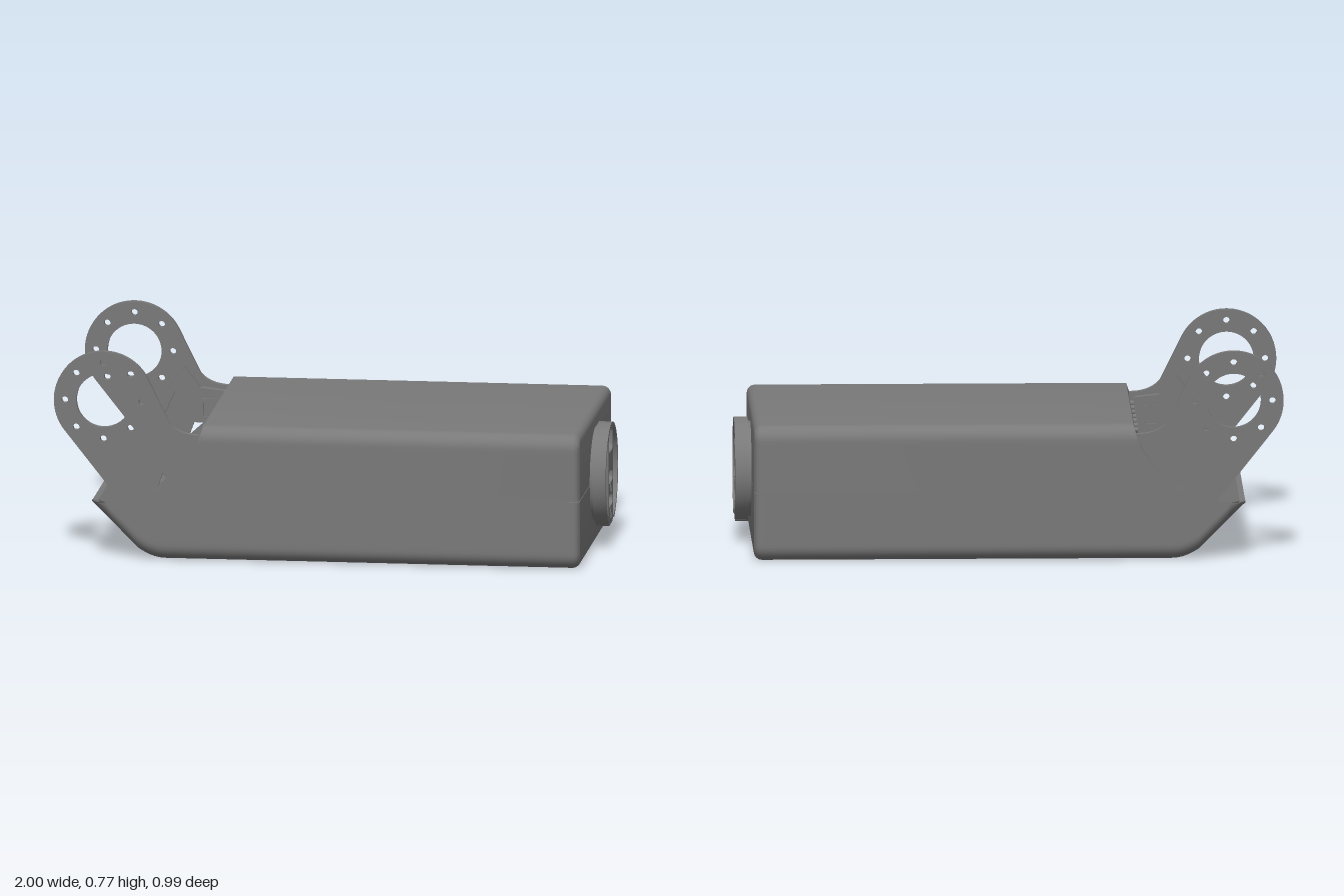
import * as THREE from 'three';
import { toCreasedNormals } from 'three/addons/utils/BufferGeometryUtils.js';

const grey = new THREE.MeshStandardMaterial({ color: 0x797979, side: THREE.DoubleSide });
// Joint axis of the ears; the mouth of the case is cut by a cylinder around it
const AX = -0.817, AY = 0.587, CUT = 0.377;
const W = 0.495, R = 0.055, WALL = 0.02, END = 0.94, ENDR = 0.03;

function add(parent, name, geometry, x = 0, y = 0, z = 0) {
  const mesh = new THREE.Mesh(geometry, grey);
  mesh.name = name;
  mesh.position.set(x, y, z);
  parent.add(mesh);
  return mesh;
}
const box = (w, h, d) => new THREE.BoxGeometry(w, h, d);
const poly = (pts) => new THREE.Shape(pts.map((p) => new THREE.Vector2(p[0], p[1])));
const extrude = (shape, depth) =>
  toCreasedNormals(new THREE.ExtrudeGeometry(shape, { depth, bevelEnabled: false, curveSegments: 24 }), 0.6);

function circle(x, y, r) {
  const c = new THREE.Path();
  c.absarc(x, y, r, 0, Math.PI * 2, true);
  return c;
}
function disc(r, hole) {
  const s = new THREE.Shape();
  s.absarc(0, 0, r, 0, Math.PI * 2);
  if (hole) s.holes.push(circle(0, 0, hole));
  return s;
}
// Slot with fully or partly rounded ends
function slot(x, y, w, h, r) {
  const p = new THREE.Path();
  const a = w / 2 - r, b = h / 2 - r;
  p.absarc(x + a, y + b, r, 0, Math.PI / 2);
  p.absarc(x - a, y + b, r, Math.PI / 2, Math.PI);
  p.absarc(x - a, y - b, r, Math.PI, Math.PI * 1.5);
  p.absarc(x + a, y - b, r, Math.PI * 1.5, Math.PI * 2);
  p.closePath();
  return p;
}

// U section from the seam edge to the base and back, as [y, z] points
function section(edge, base, w, r) {
  const s = Math.sign(edge - base), half = [];
  const depth = Math.abs(edge - base);
  const t0 = Math.asin(Math.min(1, Math.max(0, (r - depth) / r)));
  const side = Math.max(0, depth - r);
  for (let i = 0; i < 12; i++) half.push([edge - s * side * i / 12, w - r + r * Math.cos(t0)]);
  for (let i = 0; i <= 8; i++) {
    const t = t0 + (Math.PI / 2 - t0) * i / 8;
    half.push([base + s * (r - r * Math.sin(t)), w - r + r * Math.cos(t)]);
  }
  return half.concat(half.slice().reverse().map(([y, z]) => [y, -z]));
}

// Surface through rows of equal length
function loft(rows) {
  const n = rows[0].length, index = [];
  for (let i = 0; i < rows.length - 1; i++)
    for (let j = 0; j < n - 1; j++) {
      const a = i * n + j, b = a + n;
      index.push(a, b, a + 1, b, b + 1, a + 1);
    }
  const g = new THREE.BufferGeometry();
  g.setAttribute('position', new THREE.Float32BufferAttribute(rows.flat(2), 3));
  g.setIndex(index);
  return toCreasedNormals(g, 0.6);
}

// Rounded closing wall at the +x end
function endRows(edge, base) {
  const s = Math.sign(edge - base), rows = [];
  for (let i = 0; i <= 6; i++) {
    const a = Math.PI / 2 * i / 6, d = ENDR * (1 - Math.cos(a));
    rows.push(section(edge, base + s * d, W - d, R - d).map(([y, z]) => [END - ENDR + ENDR * Math.sin(a), y, z]));
  }
  rows.push(rows[6].map(([x, , z]) => [x, edge, z]));
  return rows;
}

function lowerShell() {
  const xs = [-0.86, -0.84, -0.81, -0.78, -0.75, -0.72, -0.69, -0.67, -0.65, -0.63, -0.61, -0.59, 0.2, 0.9];
  const bottom = (x) => {
    if (x < -0.69) return 0.205 - (x + 0.86);
    return x < -0.59 ? 3.5 * (x + 0.59) ** 2 : 0;
  };
  const top = (x) => (x > -0.64 ? 0.252 : Math.min(0.252, AY - Math.sqrt(CUT ** 2 - (x - AX) ** 2)));
  const outer = xs.map((x) => section(top(x), bottom(x), W, R).map(([y, z]) => [x, y, z]));
  const inner = xs.map((x) => {
    const t = top(x), b = Math.min(bottom(x) + WALL * 1.3, t - 0.001);
    return section(t, b, W - WALL, R - WALL).map(([y, z]) => [x, y, z]);
  });
  return loft([...inner.reverse(), ...outer, ...endRows(0.252, 0)]);
}

function upperShell() {
  const mouth = (y) => AX + Math.sqrt(CUT ** 2 - (AY - y) ** 2);
  const row = (sec, t) => sec.map(([y, z]) => [THREE.MathUtils.lerp(mouth(y), END - ENDR, t), y, z]);
  const outer = section(0.256, 0.5, W, R), inner = section(0.256, 0.5 - WALL, W - WALL, R - WALL);
  return loft([row(inner, 1), row(inner, 0), row(outer, 0), row(outer, 0.5), ...endRows(0.256, 0.5)]);
}

// Side plate with a round, drilled ear
function armShape() {
  const s = new THREE.Shape();
  s.absarc(AX, AY, 0.183, 0.464, 3.81);
  s.lineTo(-0.76, 0.22);
  s.lineTo(-0.7, 0.15);
  s.lineTo(-0.48, 0.15);
  s.lineTo(-0.46, 0.465);
  s.quadraticCurveTo(-0.54, 0.465, -0.575, 0.51);
  s.holes.push(circle(AX, AY, 0.1));
  for (let i = 0; i < 8; i++) {
    const a = i * Math.PI / 4;
    s.holes.push(circle(AX + 0.142 * Math.cos(a), AY + 0.142 * Math.sin(a), 0.012));
  }
  s.holes.push(poly([[-0.615, 0.275], [-0.562, 0.323], [-0.597, 0.325]]));
  return s;
}

// Raised frame on the inside of each side plate
function frameShape() {
  const pts = [[-0.68, 0.47], [-0.63, 0.535], [-0.57, 0.46], [-0.48, 0.45], [-0.48, 0.2], [-0.7, 0.2], [-0.77, 0.27]];
  const s = poly(pts);
  s.holes.push(poly(pts.map(([x, y]) => [-0.61 + (x + 0.61) * 0.78, 0.345 + (y - 0.345) * 0.78])));
  return s;
}

function makeBracket() {
  const g = new THREE.Group();
  g.name = 'earBracket';
  for (const s of [1, -1]) {
    add(g, 'earPlate', extrude(armShape(), 0.024), 0, 0, s * 0.462 - 0.012);
    add(g, 'plateFrame', extrude(frameShape(), 0.03), 0, 0, s * 0.435 - 0.015);
    add(g, 'floorRail', box(0.14, 0.03, 0.07), -0.53, 0.075, s * 0.39);
    // Small window frame between the plate frame's edges
    const win = new THREE.Shape(slot(-0.54, 0.375, 0.07, 0.08, 0.01).getPoints(4));
    win.holes.push(slot(-0.54, 0.375, 0.045, 0.055, 0.006));
    add(g, 'plateWindow', extrude(win, 0.012), 0, 0, s * 0.446 - 0.006);
  }
  add(g, 'bayFloor', box(0.15, 0.03, 0.88), -0.525, 0.045, 0);
  // Rear wall of the bay with panel frames and a row of screws
  add(g, 'bayWall', box(0.02, 0.42, 0.94), -0.44, 0.26, 0);
  for (const z of [-0.28, 0, 0.28]) {
    const s = new THREE.Shape(slot(0, 0, 0.26, 0.34, 0.02).getPoints(6));
    s.holes.push(slot(0, 0, 0.2, 0.28, 0.015));
    add(g, 'panelFrame', extrude(s, 0.012), -0.462, 0.26, z).rotation.y = Math.PI / 2;
  }
  for (let i = -3; i <= 3; i++)
    add(g, 'wallScrew', new THREE.CylinderGeometry(0.01, 0.01, 0.02, 12), -0.462, 0.45, i * 0.097).rotation.z = Math.PI / 2;
  return g;
}

// Round coupling on the +x end, modelled facing +z and then turned
function makeCoupling() {
  const g = new THREE.Group();
  g.name = 'coupling';
  add(g, 'neck', extrude(disc(0.175), 0.02), 0, 0.01, -0.01);
  // Rim, open at the bottom where the bar passes
  const gap = Math.acos(0.068 / 0.19), rim = new THREE.Shape();
  rim.absarc(0, 0, 0.19, -gap, Math.PI + gap);
  rim.absarc(0, 0, 0.176, Math.PI + gap, -gap, true);
  rim.closePath();
  add(g, 'rim', extrude(rim, 0.045), 0, 0.01, 0.015);
  add(g, 'rimFlange', extrude(disc(0.19, 0.165), 0.008), 0, 0.01, 0.01);
  // Sunken half-moon plates either side of the bar
  const a = Math.acos(0.07 / 0.17);
  for (const s of [0, Math.PI]) {
    const side = Math.cos(s);
    const moon = new THREE.Shape();
    moon.absarc(0, 0.01, 0.17, s - a, s + a);
    moon.closePath();
    const pad = poly([[0.07, 0.08], [0.1, 0.06], [0.115, 0.03], [0.115, -0.03], [0.1, -0.06], [0.07, -0.08]]
      .map(([x, y]) => [x * side, y]));
    for (const y of [0.048, -0.048])
      for (const shape of [moon, pad]) shape.holes.push(circle(0.095 * side, y, 0.011));
    add(g, 'halfMoonPlate', extrude(moon, 0.012), 0, 0, 0.01);
    add(g, 'halfMoonPad', extrude(pad, 0.008), 0, 0, 0.022);
  }
  // Slotted centre bar
  const bar = new THREE.Shape(slot(0, 0.002, 0.124, 0.36, 0.015).getPoints(6));
  bar.holes.push(slot(0, 0.135, 0.112, 0.084, 0.025), slot(0, 0, 0.112, 0.046, 0.022), slot(0, -0.088, 0.112, 0.046, 0.022));
  add(g, 'centreBar', extrude(bar, 0.046), 0, 0, 0.01);
  // Ring of bolt sleeves; the two lowest on the bar stand out of its face
  for (let i = 0; i < 8; i++) {
    const t = i * Math.PI / 4;
    add(g, 'boltSleeve', extrude(disc(0.024, 0.012), i === 6 ? 0.048 : 0.028), 0.143 * Math.cos(t), 0.143 * Math.sin(t), 0.01);
  }
  add(g, 'centreSleeve', extrude(disc(0.019, 0.012), 0.048), 0, -0.045, 0.01);
  g.rotation.y = Math.PI / 2;
  g.position.set(END, 0.255, 0);
  return g;
}

export function createModel() {
  const model = new THREE.Group();
  model.name = 'armLink';
  add(model, 'lowerShell', lowerShell());
  add(model, 'upperShell', upperShell());
  model.add(makeBracket(), makeCoupling());
  return model;
}
